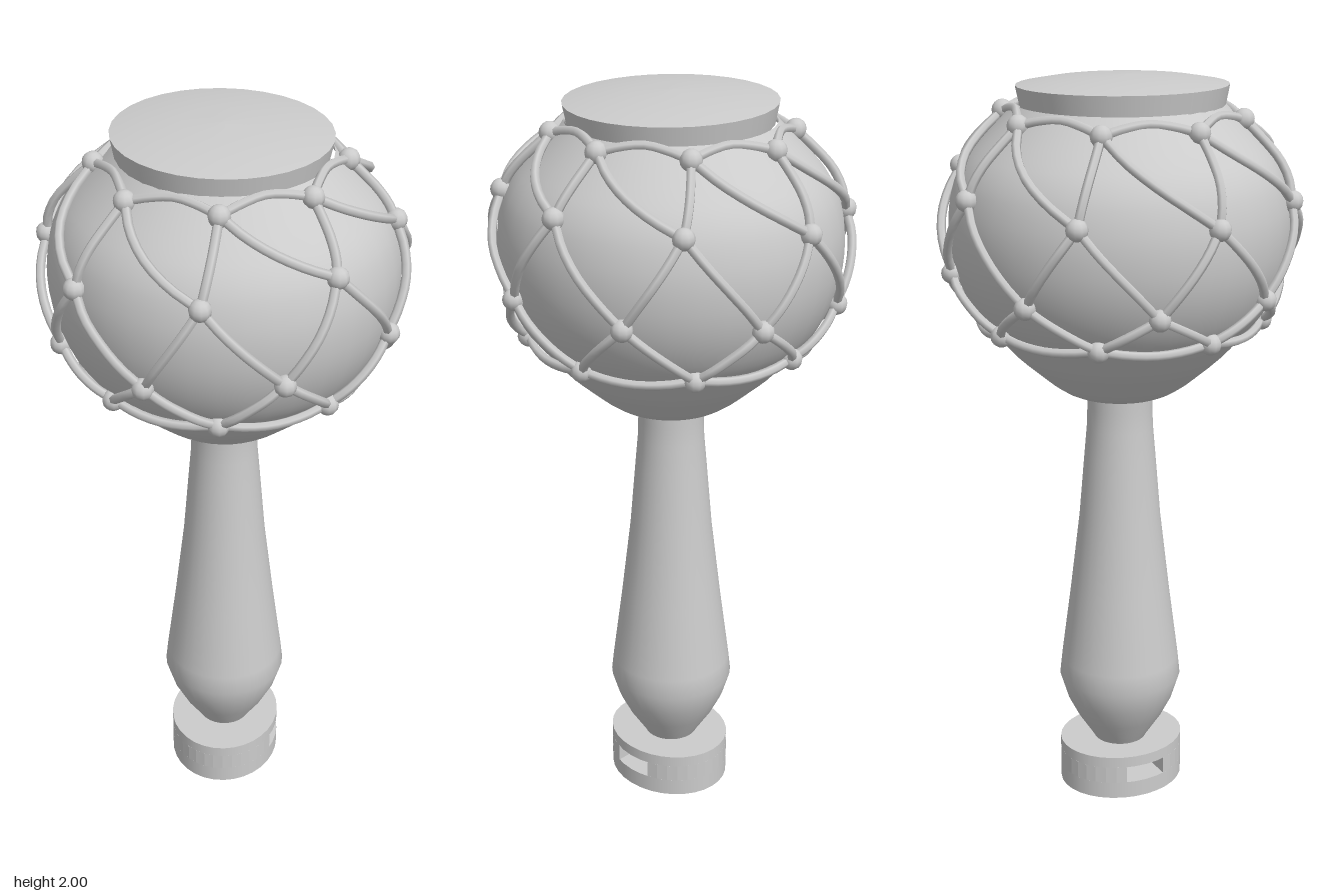
import * as THREE from 'three';

const material = new THREE.MeshStandardMaterial({ color: 0xcccccc });
const V2 = (x, y) => new THREE.Vector2(x, y);

// Gourd outline as [radius, height], bottom to top
const gourdPoints = [
  [0.08, 1.175], [0.125, 1.16], [0.175, 1.185], [0.23, 1.23], [0.285, 1.28], [0.345, 1.35],
  [0.385, 1.4], [0.42, 1.47], [0.441, 1.55], [0.445, 1.64], [0.43, 1.72], [0.405, 1.775],
  [0.37, 1.82], [0.312, 1.88], [0.268, 1.925],
].map(([r, y]) => V2(r, y));

// Radius of the gourd at a height
function gourdRadius(y) {
  for (let i = 2; i < gourdPoints.length; i++) {
    const a = gourdPoints[i - 1], b = gourdPoints[i];
    if (y <= b.y) return THREE.MathUtils.mapLinear(y, a.y, b.y, a.x, b.x);
  }
  return gourdPoints[gourdPoints.length - 1].x;
}

function add(parent, name, geometry) {
  const mesh = new THREE.Mesh(geometry, material);
  mesh.name = name;
  parent.add(mesh);
  return mesh;
}

// Point on the net: angle in degrees from +x towards +z, lying on the gourd
function netPoint(angle, y, lift = 0.012) {
  const a = THREE.MathUtils.degToRad(angle), r = gourdRadius(y) + lift;
  return new THREE.Vector3(r * Math.cos(a), y, r * Math.sin(a));
}

// Cord that follows the gourd between two knots, bulging or dipping midway
function cord(parent, a, b, bulge = 0.008, rise = 0) {
  const points = [];
  for (let i = 0; i <= 4; i++) {
    const t = i / 4, s = Math.sin(Math.PI * t);
    points.push(netPoint(
      THREE.MathUtils.lerp(a.angle, b.angle, t),
      THREE.MathUtils.lerp(a.y, b.y, t) + rise * s,
      0.012 + bulge * s));
  }
  add(parent, 'netCord', new THREE.TubeGeometry(new THREE.CatmullRomCurve3(points), 10, 0.012, 6));
}

function createBase() {
  const base = new THREE.Group();
  base.name = 'base';
  const rx = 0.155, rz = 0.177, slot = 0.058;
  // Discs above and below the slot
  for (const [name, y0, y1] of [['baseBottom', 0, 0.048], ['baseTop', 0.096, 0.127]]) {
    const disc = add(base, name, new THREE.CylinderGeometry(1, 1, y1 - y0, 32));
    disc.scale.set(rx, 1, rz);
    disc.position.y = (y0 + y1) / 2;
  }
  // Segments in front of and behind the slot
  const start = Math.asin(slot / rz);
  for (const side of [1, -1]) {
    const shape = new THREE.Shape();
    for (let i = 0; i <= 14; i++) {
      const a = start + (Math.PI - 2 * start) * i / 14;
      const x = rx * Math.cos(a), y = side * rz * Math.sin(a);
      if (i) shape.lineTo(x, y); else shape.moveTo(x, y);
    }
    const geometry = new THREE.ExtrudeGeometry(shape, { depth: 0.048, bevelEnabled: false });
    geometry.rotateX(-Math.PI / 2);
    add(base, side > 0 ? 'baseBackWall' : 'baseFrontWall', geometry).position.y = 0.048;
  }
  base.position.set(0.003, 0, 0.005);
  return base;
}

function createNet() {
  const net = new THREE.Group();
  net.name = 'cordNet';
  const count = 8;
  // Rings from top to bottom: first angle, mean height, tilt towards +x
  const rings = [[-9, 1.895, 0.01], [-4, 1.72, 0.045], [15, 1.495, 0.035], [-9, 1.37, 0]];
  const knot = (ring, i) => {
    const [first, y, tilt] = rings[ring];
    const angle = first + i * 360 / count;
    return { angle, y: y + tilt * Math.cos(THREE.MathUtils.degToRad(angle)) };
  };
  const knotGeometry = new THREE.SphereGeometry(0.028, 10, 8);
  for (let i = 0; i < count; i++) {
    rings.forEach((_, ring) => {
      const k = knot(ring, i);
      add(net, 'netKnot', knotGeometry).position.copy(netPoint(k.angle, k.y, 0.014));
    });
    // Diamond mesh between neighbouring rings
    cord(net, knot(0, i), knot(1, i));
    cord(net, knot(0, i + 1), knot(1, i));
    cord(net, knot(1, i), knot(2, i));
    cord(net, knot(1, i + 1), knot(2, i));
    cord(net, knot(2, i), knot(3, i));
    cord(net, knot(2, i), knot(3, i + 1));
    // Upper drawstring tucked under the cap, and lower hem
    cord(net, knot(0, i), knot(0, i + 1), -0.015, 0.022);
    cord(net, knot(3, i), knot(3, i + 1), 0.006, -0.015);
  }
  return net;
}

export function createModel() {
  const model = new THREE.Group();
  model.name = 'nettedGourdRattle';
  model.add(createBase());

  // Turned handle, widest near the bottom
  const handle = [[0.07, 0.12], [0.078, 0.135], [0.12, 0.2], [0.15, 0.26], [0.17, 0.325], [0.164, 0.38],
    [0.138, 0.58], [0.112, 0.8], [0.097, 0.98], [0.09, 1.06], [0.088, 1.12], [0.09, 1.2]];
  add(model, 'handle', new THREE.LatheGeometry(handle.map(([r, y]) => V2(r, y)), 32));

  // Round gourd body
  const outline = new THREE.SplineCurve(gourdPoints).getPoints(36);
  add(model, 'gourdBody', new THREE.LatheGeometry(outline, 40));

  // Cap with a slightly domed top, leaning a little
  const cap = new THREE.Group();
  cap.name = 'cap';
  add(cap, 'capRim', new THREE.CylinderGeometry(0.273, 0.262, 0.055, 32));
  const dome = [[0.273, 0.0275], [0.2, 0.04], [0.1, 0.049], [0, 0.052]];
  add(cap, 'capTop', new THREE.LatheGeometry(dome.map(([r, y]) => V2(r, y)), 32));
  cap.position.set(-0.005, 1.945, 0.005);
  cap.rotation.z = -0.015;
  model.add(cap);

  model.add(createNet());
  return model;
}
